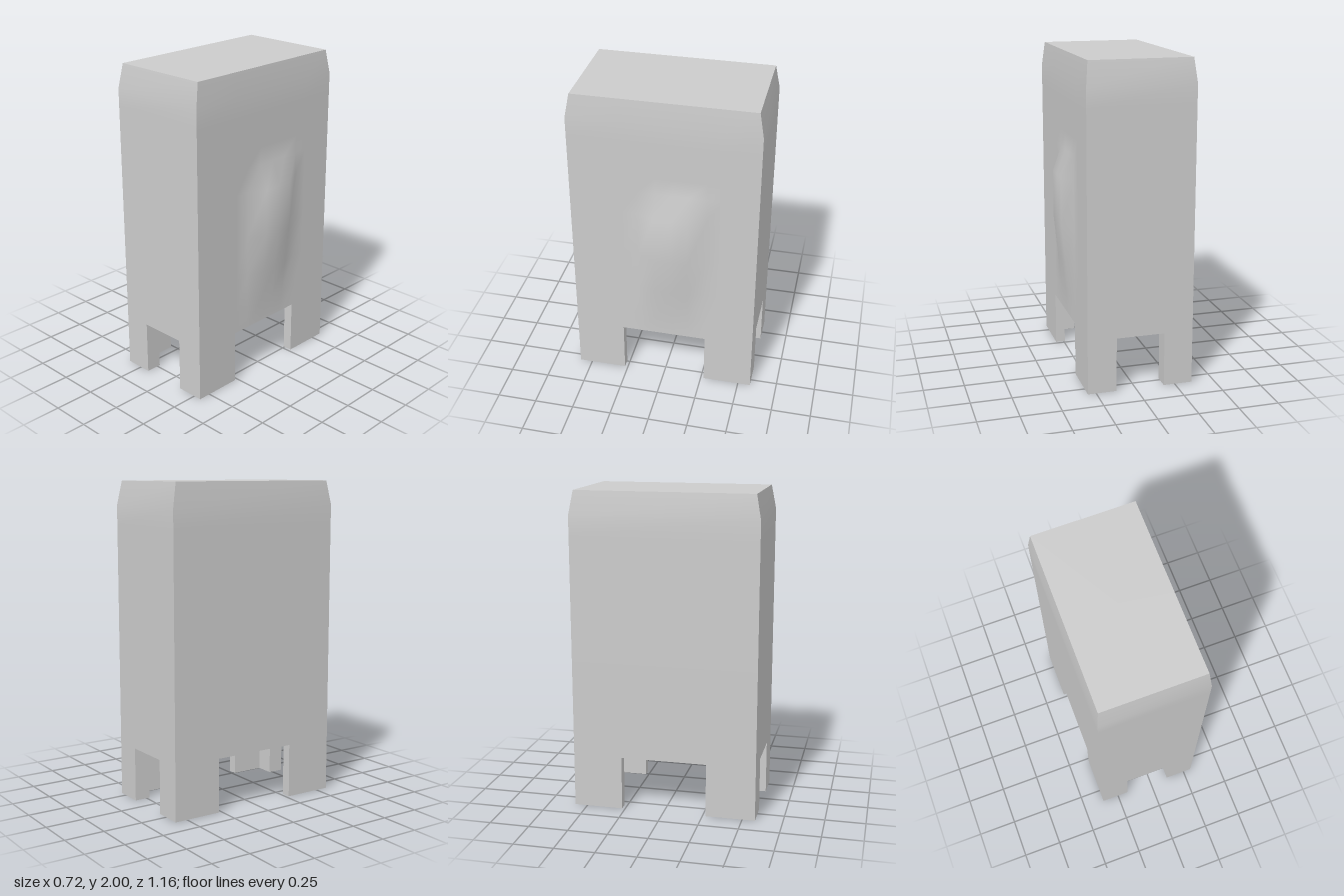
import * as THREE from 'three';
import { toCreasedNormals } from 'three/addons/utils/BufferGeometryUtils.js';

const X0 = -0.36, X1 = 0.302, Z = 0.58, LEG = 0.34;
const CX = (X0 + X1) / 2, HX = (X1 - X0) / 2;

// Bulge on the left side: depth along the height, times a fade along z
const rows = [[LEG, 0], [0.48, 0.004], [0.7, 0.029], [0.95, 0.054], [1.25, 0.054],
  [1.4, 0], [1.51, 0], [1.73, 0], [1.85, 0], [2, 0]];
const columns = [[Z, 0], [0.26, 0], [0.16, 0], [0.05, 1], [-0.06, 1],
  [-0.16, 1], [-0.27, 0], [-0.36, 0], [-Z, 0]];

// Tall body: stacked rings, the last one drawn in, closed by two caps
function bodyGeometry() {
  const pos = [], index = [];
  const n = columns.length + 2;
  rows.forEach(([y, depth], j) => {
    const top = j === rows.length - 1;
    const sx = top ? (HX - 0.016) / HX : 1, sz = top ? (Z - 0.028) / Z : 1;
    for (const [z, fade] of columns) pos.push(CX + HX * sx + depth * fade, y, z * sz);
    for (const z of [-Z, Z]) pos.push(CX - HX * sx, y, z * sz);
  });
  for (let j = 0; j < rows.length - 1; j++) {
    for (let i = 0; i < n; i++) {
      const a = j * n + i, b = j * n + (i + 1) % n;
      index.push(a, b, b + n, a, b + n, a + n);
    }
  }
  const last = (rows.length - 1) * n, low = pos.length / 3;
  pos.push(CX, LEG, 0, CX, 2, 0);
  for (let i = 0; i < n; i++) {
    const k = (i + 1) % n;
    index.push(low, k, i, low + 1, last + i, last + k);
  }
  const g = new THREE.BufferGeometry();
  g.setAttribute('position', new THREE.Float32BufferAttribute(pos, 3));
  g.setIndex(index);
  return toCreasedNormals(g, 0.7);
}

// Angle-section leg with its outer corner at (sx, sz)
function legGeometry(sx, sz) {
  const corner = [[0, 0], [0.18, 0], [0.18, 0.1], [0.06, 0.1], [0.06, 0.31], [0, 0.31]];
  const shape = new THREE.Shape(corner.map(([u, v]) =>
    new THREE.Vector2(CX + sx * (HX - u), -sz * (Z - v))));
  const g = new THREE.ExtrudeGeometry(shape, { depth: LEG, bevelEnabled: false });
  return g.rotateX(-Math.PI / 2);
}

export function createModel() {
  const model = new THREE.Group();
  model.name = 'cabinet';
  const material = new THREE.MeshStandardMaterial({ color: 0xcccccc });
  const add = (name, geometry) => {
    const mesh = new THREE.Mesh(geometry, material);
    mesh.name = name;
    model.add(mesh);
  };

  add('body', bodyGeometry());
  for (const sx of [-1, 1]) {
    for (const sz of [-1, 1]) {
      add((sz > 0 ? 'front' : 'back') + (sx > 0 ? 'Left' : 'Right') + 'Leg', legGeometry(sx, sz));
    }
  }
  return model;
}
